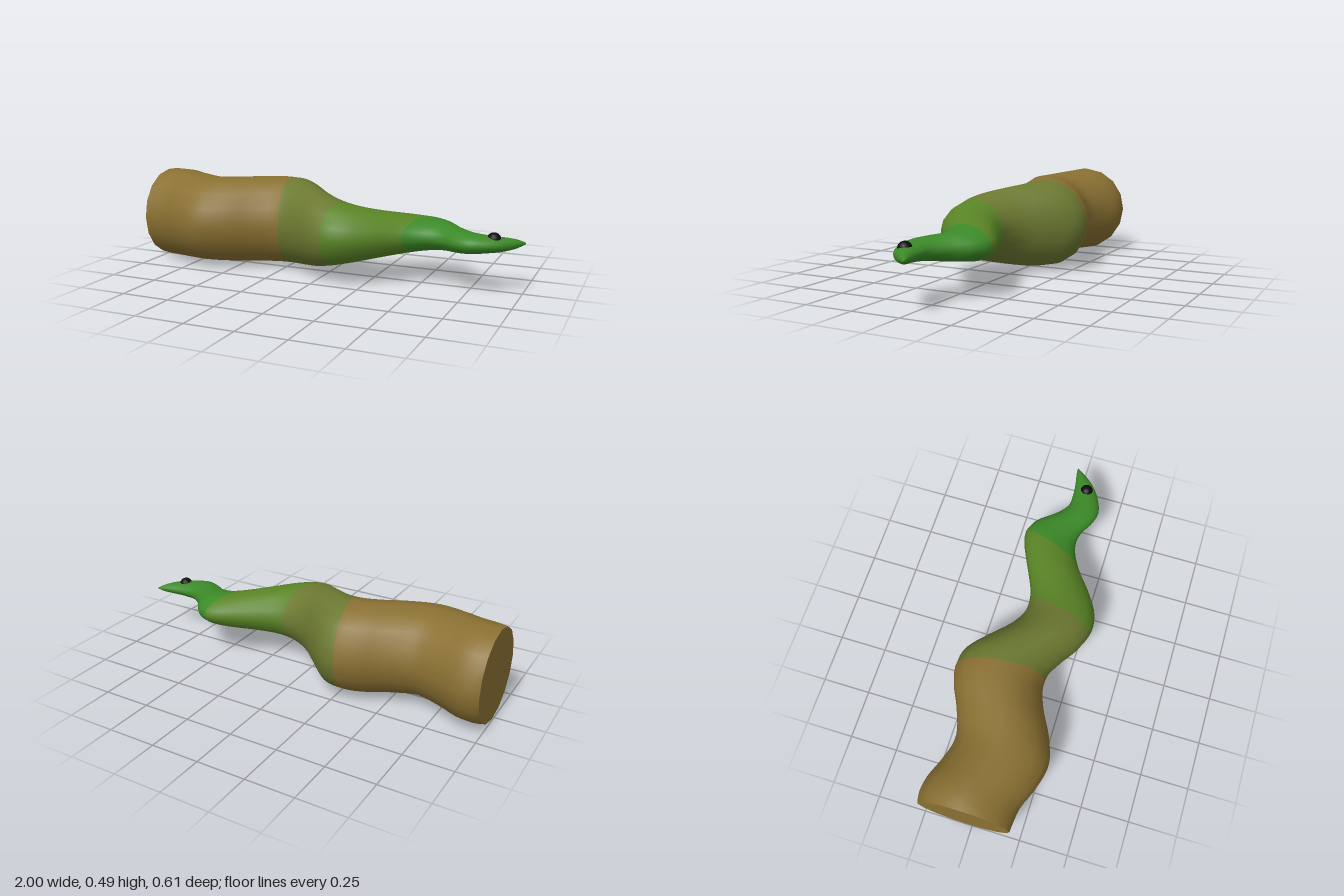
import * as THREE from 'three';

const SIDES = 16;
const MID_Y = 0.246;

// Body sections: x, z of the right edge, z of the left edge, half height
const SECTIONS = [
  [-1, -0.262, 0.203, 0.234], [-0.95, -0.272, 0.207, 0.242], [-0.88, -0.264, 0.217, 0.242],
  [-0.78, -0.225, 0.258, 0.234], [-0.64, -0.19, 0.29, 0.227], [-0.5, -0.232, 0.25, 0.229],
  [-0.38, -0.288, 0.187, 0.232], [-0.28, -0.31, 0.152, 0.232], [-0.2, -0.287, 0.155, 0.228],
  [-0.1, -0.2, 0.205, 0.212], [0, -0.105, 0.272, 0.188], [0.1, -0.057, 0.304, 0.162],
  [0.2, -0.06, 0.288, 0.138], [0.3, -0.1, 0.23, 0.117], [0.4, -0.147, 0.153, 0.1],
  [0.48, -0.18, 0.107, 0.087], [0.55, -0.19, 0.087, 0.077], [0.62, -0.155, 0.097, 0.067],
  [0.69, -0.07, 0.135, 0.058], [0.76, -0.016, 0.154, 0.05], [0.84, -0.009, 0.132, 0.041],
  [0.91, -0.016, 0.088, 0.033], [0.965, -0.026, 0.028, 0.021], [1, -0.03, -0.022, 0.004],
];

// Lean of the rings that form the colour borders
const LEAN = [[-1, 0], [-0.6, 0], [-0.26, -0.03], [0.115, 0.045], [0.49, 0.058], [0.72, 0], [1, 0]];

function sampler(rows) {
  const size = rows[0].length - 1;
  const curve = new THREE.CubicInterpolant(
    rows.map((r) => r[0]), rows.flatMap((r) => r.slice(1)), size, new Float32Array(size));
  return (x) => Array.from(curve.evaluate(x));
}

function material(name, color) {
  const m = new THREE.MeshStandardMaterial({ color });
  m.name = name;
  return m;
}

export function createModel() {
  const model = new THREE.Group();
  model.name = 'snake';
  const brown = material('brown', 0x8a7032);
  const olive = material('olive', 0x6c7931);
  const green = material('leaf green', 0x5a8526);
  const bright = material('bright green', 0x3c8a28);
  const black = material('black', 0x0c0c0c);

  const section = sampler(SECTIONS);
  const lean = sampler(LEAN);

  // Point on the skin for a station along the body and an angle around it
  function skin(station, angle) {
    const x = THREE.MathUtils.clamp(station - lean(station)[0] * Math.sin(angle), -1, 1);
    const [z0, z1, ry] = section(x);
    return [x, MID_Y + ry * Math.cos(angle), (z0 + z1) / 2 + ((z1 - z0) / 2) * Math.sin(angle)];
  }

  // One smooth skin, with a material group per colour band
  const borders = [-1, -0.26, 0.115, 0.49, 1];
  const steps = [24, 14, 14, 28];
  const stations = [-1];
  const geometry = new THREE.BufferGeometry();
  const positions = [];
  const indices = [];
  steps.forEach((n, band) => {
    for (let i = 1; i <= n; i++) {
      stations.push(THREE.MathUtils.lerp(borders[band], borders[band + 1], i / n));
    }
  });
  for (const s of stations) {
    for (let j = 0; j < SIDES; j++) positions.push(...skin(s, (j / SIDES) * Math.PI * 2));
  }
  let ring = 0;
  steps.forEach((n, band) => {
    const start = indices.length;
    for (let i = 0; i < n; i++, ring++) {
      for (let j = 0; j < SIDES; j++) {
        const k = (j + 1) % SIDES;
        const a = ring * SIDES + j, b = a + SIDES;
        const c = ring * SIDES + k, d = c + SIDES;
        indices.push(a, c, b, b, c, d);
      }
    }
    // Close the snout
    if (band === 3) {
      const o = ring * SIDES;
      for (let j = 1; j < SIDES - 1; j++) indices.push(o, o + j, o + j + 1);
    }
    geometry.addGroup(start, indices.length - start, band);
  });
  geometry.setAttribute('position', new THREE.Float32BufferAttribute(positions, 3));
  geometry.setIndex(indices);
  geometry.computeVertexNormals();
  const body = new THREE.Mesh(geometry, [brown, olive, green, bright]);
  body.name = 'body';
  model.add(body);

  // Flat cut end
  const [z0, z1, ry] = section(-1);
  const end = new THREE.Mesh(new THREE.CircleGeometry(1, SIDES), brown);
  end.name = 'endCap';
  end.scale.set((z1 - z0) / 2, ry, 1);
  end.rotation.y = -Math.PI / 2;
  end.position.set(-1, MID_Y, (z0 + z1) / 2);
  model.add(end);

  // Single eye on top of the head
  const eye = new THREE.Mesh(new THREE.SphereGeometry(0.034, 16, 12), black);
  eye.name = 'eye';
  eye.position.set(0.866, 0.271, 0.058);
  model.add(eye);

  return model;
}
